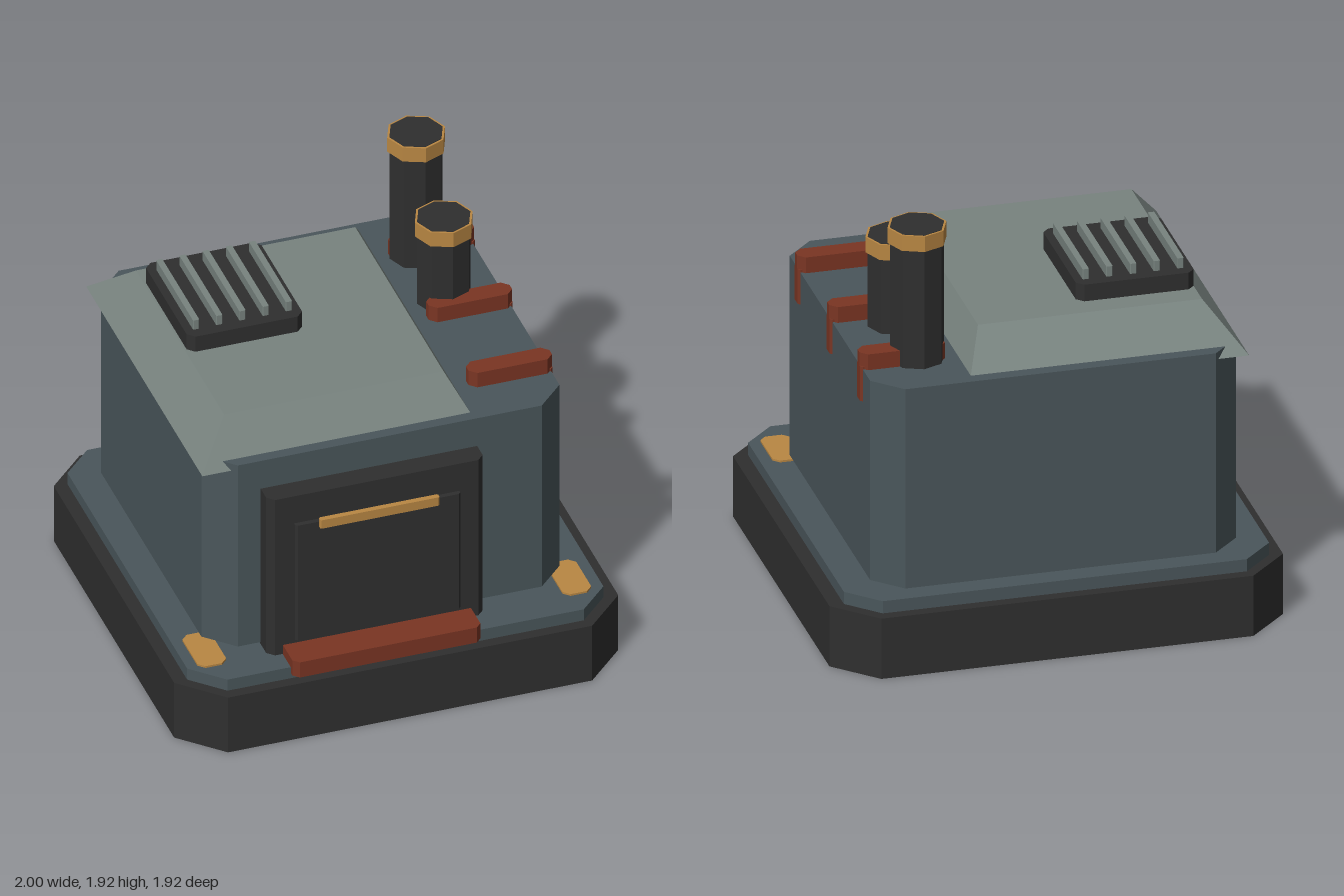
import * as THREE from 'three';

const mat = (name, color) => {
  const m = new THREE.MeshStandardMaterial({ color, flatShading: true });
  m.name = name;
  return m;
};

export function createModel() {
  const charcoal = mat('charcoal', 0x2f2f2f);
  const slate = mat('slate', 0x4a565b);
  const sage = mat('sage grey', 0x78837f);
  const rust = mat('rust', 0x7a3523);
  const brass = mat('brass', 0xb98743);

  const model = new THREE.Group();
  model.name = 'furnaceHouse';

  const add = (name, geometry, material, parent = model) => {
    const mesh = new THREE.Mesh(geometry, material);
    mesh.name = name;
    parent.add(mesh);
    return mesh;
  };

  // Upright block whose four vertical edges are cut by c
  const block = (name, material, [x0, x1], [y0, y1], [z0, z1], c, parent) => {
    const s = new THREE.Shape([
      [x0 + c, -z1], [x1 - c, -z1], [x1, -z1 + c], [x1, -z0 - c],
      [x1 - c, -z0], [x0 + c, -z0], [x0, -z0 - c], [x0, -z1 + c],
    ].map(([x, y]) => new THREE.Vector2(x, y)));
    const g = new THREE.ExtrudeGeometry(s, { depth: y1 - y0, bevelEnabled: false });
    g.rotateX(-Math.PI / 2).translate(0, y0, 0);
    return add(name, g, material, parent);
  };

  // Plinth, floor plate and house body
  block('base', charcoal, [-1, 1], [0, 0.283], [-0.96, 0.96], 0.18);
  block('floorPlate', slate, [-0.94, 0.935], [0.283, 0.34], [-0.91, 0.91], 0.135);
  block('body', slate, [-0.81, 0.803], [0.352, 1.288], [-0.837, 0.707], 0.122);

  // Roof: a box with its upper corners pulled in
  const low = { x: [-0.84, 0.395], y: 1.252, z: [-0.82, 0.685] };
  const high = { x: [-0.69, 0.298], y: 1.44, z: [-0.607, 0.535] };
  const roof = new THREE.BoxGeometry(1, 1, 1);
  const p = roof.attributes.position;
  for (let i = 0; i < p.count; i++) {
    const level = p.getY(i) > 0 ? high : low;
    p.setXYZ(i, level.x[p.getX(i) > 0 ? 1 : 0], level.y, level.z[p.getZ(i) > 0 ? 1 : 0]);
  }
  roof.computeVertexNormals();
  add('roof', roof, sage);

  // Roof vent with slats
  const vent = new THREE.Group();
  vent.name = 'roofVent';
  model.add(vent);
  block('ventBox', charcoal, [-0.685, -0.165], [1.45, 1.528], [-0.52, 0.065], 0.03, vent);
  for (let i = 0; i < 5; i++) {
    const x = -0.634 + i * 0.1045;
    block('ventSlat', sage, [x - 0.014, x + 0.014], [1.528, 1.575], [-0.467, 0.013], 0.003, vent);
  }

  // Chimneys: the dark pipe shows inside the rim of the cap
  const chimney = (name, z, top) => {
    const g = new THREE.Group();
    g.name = name;
    g.position.set(0.55, 0, z);
    model.add(g);
    const h = top - 1.27;
    add('pipe', new THREE.CylinderGeometry(0.12, 0.12, h, 8), charcoal, g).position.y = 1.27 + h / 2;
    add('cap', new THREE.CylinderGeometry(0.13, 0.13, 0.072, 8), brass, g).position.y = top - 0.038;
  };
  chimney('tallChimney', -0.545, 1.917);
  chimney('shortChimney', -0.187, 1.712);

  // Straps hooked over the right-hand edge of the body
  for (const z of [0.443, -0.073, -0.565]) {
    const strap = new THREE.Group();
    strap.name = 'roofStrap';
    model.add(strap);
    block('strapBar', rust, [0.437, 0.813], [1.288, 1.362], [z - 0.046, z + 0.046], 0.03, strap);
    block('strapHook', rust, [0.76, 0.813], [1.138, 1.3], [z - 0.034, z + 0.034], 0.01, strap);
  }

  // Front doorway
  block('doorFrame', charcoal, [-0.585, 0.39], [0.342, 1.145], [0.66, 0.808], 0.03);
  block('doorPanel', charcoal, [-0.47, 0.275], [0.412, 1.005], [0.78, 0.83], 0.01);
  block('doorHandle', brass, [-0.365, 0.172], [0.98, 1.023], [0.825, 0.85], 0.005);
  block('doorSill', rust, [-0.52, 0.327], [0.31, 0.388], [0.75, 0.955], 0.025);

  // Brass pads on the front corners of the floor plate
  for (const side of [-1, 1]) {
    const x = side * 0.822 - 0.005;
    block('cornerPad', brass, [x - 0.065, x + 0.065], [0.34, 0.349], [0.548, 0.797], 0.028);
  }

  return model;
}
